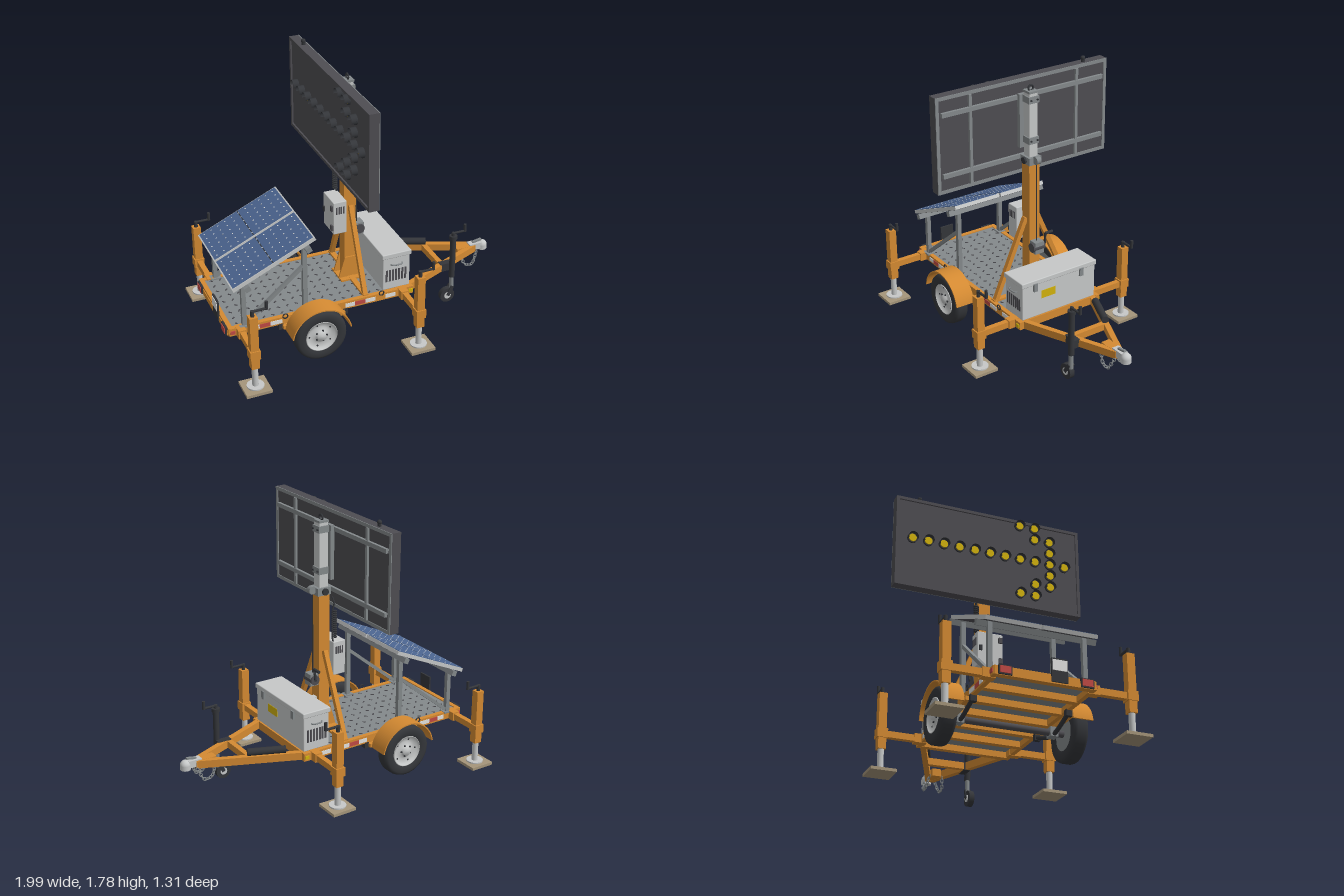
import * as THREE from 'three';
import { mergeGeometries } from 'three/addons/utils/BufferGeometryUtils.js';
import { RoundedBoxGeometry } from 'three/addons/geometries/RoundedBoxGeometry.js';

const V = (x, y, z) => new THREE.Vector3(x, y, z);
const colours = {
  orange: 0xd48a32, lightGrey: 0xc6c8c8, midGrey: 0x84898b, boardGrey: 0x4e4d52, black: 0x34363a,
  blue: 0x4c6692, tan: 0xa5957a, yellow: 0xd2b20e, red: 0xc04a44, white: 0xe2e2e0,
};

export function createModel() {
  const M = {};
  for (const [name, color] of Object.entries(colours)) {
    M[name] = new THREE.MeshStandardMaterial({ color });
    M[name].name = name;
  }
  M.black.side = THREE.DoubleSide;
  const root = new THREE.Group();
  root.name = 'arrowBoardTrailer';

  const add = (name, mat, geo, parent = root) => {
    const m = new THREE.Mesh(geo, M[mat]);
    m.name = name;
    parent.add(m);
    return m;
  };
  // Box from its limits on each axis
  const boxGeo = (x0, x1, y0, y1, z0, z1) =>
    new THREE.BoxGeometry(x1 - x0, y1 - y0, z1 - z0).translate((x0 + x1) / 2, (y0 + y1) / 2, (z0 + z1) / 2);
  const box = (name, mat, x0, x1, y0, y1, z0, z1, p) => add(name, mat, boxGeo(x0, x1, y0, y1, z0, z1), p);
  // Square bar and round bar between two points
  const beam = (name, mat, a, b, w, h, p) => {
    const m = add(name, mat, new THREE.BoxGeometry(w, h, a.distanceTo(b)), p);
    m.position.copy(a).lerp(b, 0.5);
    m.lookAt(b);
    return m;
  };
  const rod = (name, mat, a, b, r, p, r2 = r) => {
    const m = add(name, mat, new THREE.CylinderGeometry(r2, r, a.distanceTo(b), 20), p);
    m.position.copy(a).lerp(b, 0.5);
    m.quaternion.setFromUnitVectors(V(0, 1, 0), b.clone().sub(a).normalize());
    return m;
  };
  const tube = (name, mat, pts, r, p, seg = 40) =>
    add(name, mat, new THREE.TubeGeometry(new THREE.CatmullRomCurve3(pts), seg, r, 8), p);
  const plate = (name, mat, pts, z, t, p) =>
    add(name, mat, new THREE.ExtrudeGeometry(new THREE.Shape(pts.map(q => new THREE.Vector2(...q))),
      { depth: t, bevelEnabled: false }).translate(0, 0, z - t / 2), p);
  // Crank handle: stem, arm along +x and upright grip
  const crank = (x, y, z, len, p) => {
    rod('crankStem', 'black', V(x, y, z), V(x, y + 0.04, z), 0.012, p);
    rod('crankArm', 'black', V(x - 0.01, y + 0.035, z), V(x + len, y + 0.035, z), 0.008, p);
    rod('crankGrip', 'black', V(x + len, y + 0.03, z), V(x + len, y + 0.085, z), 0.01, p);
  };

  // Deck and chassis
  box('deckPlate', 'midGrey', -0.94, 0.27, 0.272, 0.282, -0.29, 0.29);
  const treads = [];
  for (let i = 0; i < 20; i++) for (let j = 0; j < 9; j++)
    treads.push(new THREE.BoxGeometry(0.022, 0.003, 0.009).rotateY((i + j) % 2 ? 0.8 : -0.8)
      .translate(-0.9 + i * 0.06, 0.283, -0.26 + j * 0.065));
  add('deckTread', 'boardGrey', mergeGeometries(treads));
  for (const x of [-0.955, -0.75, -0.55, -0.35, -0.15, 0.05, 0.265])
    box('crossMember', 'orange', x - 0.02, x + 0.02, 0.232, 0.272, -0.29, 0.29);
  box('rearSill', 'orange', -0.97, -0.94, 0.235, 0.288, -0.31, 0.31);
  box('frontSill', 'orange', 0.255, 0.285, 0.235, 0.288, -0.31, 0.31);
  for (const s of [1, -1]) {
    box('sideRail', 'orange', -0.965, 0.29, 0.235, 0.288, s * 0.3 - 0.015, s * 0.3 + 0.015);
    for (const [x0, x1, c] of [[-0.82, -0.77, 'white'], [-0.77, -0.7, 'red'], [-0.7, -0.62, 'white'],
      [-0.19, -0.125, 'white'], [-0.125, -0.05, 'red'], [-0.05, 0.02, 'white'], [0.09, 0.16, 'white']])
      box('reflectiveTape', c, x0, x1, 0.247, 0.274, s * 0.3165 - 0.002, s * 0.3165 + 0.002);
    box('rearMarker', 'red', -0.96, -0.93, 0.25, 0.272, s * 0.318 - 0.004, s * 0.318 + 0.004);
    box('frontMarker', 'yellow', 0.255, 0.285, 0.25, 0.272, s * 0.318 - 0.004, s * 0.318 + 0.004);
    box('tailLightHousing', 'black', -0.985, -0.97, 0.235, 0.29, s * 0.25 - 0.04, s * 0.25 + 0.04);
    box('tailLightLens', 'red', -0.99, -0.985, 0.242, 0.283, s * 0.25 - 0.033, s * 0.25 + 0.033);
    for (const x of [-0.6, 0.06]) {
      const ring = add('tieDownRing', 'black', new THREE.TorusGeometry(0.016, 0.004, 6, 16));
      ring.position.set(x, 0.295, s * 0.322);
    }
  }
  box('plateHolder', 'black', -0.982, -0.97, 0.24, 0.385, 0.03, 0.13);
  box('plateBlank', 'white', -0.986, -0.982, 0.31, 0.375, 0.035, 0.125);

  // Wheels, axle and fenders
  rod('axle', 'boardGrey', V(-0.41, 0.175, -0.37), V(-0.41, 0.175, 0.37), 0.021);
  const tyreProfile = [[0.1, -0.04], [0.12, -0.05], [0.15, -0.05], [0.167, -0.041], [0.173, -0.025],
    [0.173, 0.025], [0.167, 0.041], [0.15, 0.05], [0.12, 0.05], [0.1, 0.04]];
  const rimProfile = [[0.09, -0.035], [0.106, 0.045], [0.1, 0.048], [0.094, 0.03], [0.06, 0.022],
    [0.045, 0.034], [0.03, 0.034], [0.028, 0.05], [0, 0.052]];
  const lathe = pts => new THREE.LatheGeometry(pts.map(p => new THREE.Vector2(...p)), 40);
  for (const s of [1, -1]) {
    const wheel = new THREE.Group();
    wheel.name = 'wheel';
    wheel.position.set(-0.41, 0.175, s * 0.413);
    wheel.rotation.x = s * Math.PI / 2;
    root.add(wheel);
    add('tyre', 'black', lathe(tyreProfile), wheel);
    add('rim', 'lightGrey', lathe(rimProfile), wheel);
    add('rimBack', 'midGrey', new THREE.CylinderGeometry(0.1, 0.1, 0.01, 32), wheel).position.y = -0.035;
    for (let i = 0; i < 10; i++) {
      const a = i * Math.PI / 5, r = i % 2 ? 0.078 : 0.038;
      rod(i % 2 ? 'rimHole' : 'wheelNut', 'black', V(r * Math.cos(a), 0.022, r * Math.sin(a)),
        V(r * Math.cos(a), i % 2 ? 0.028 : 0.04, r * Math.sin(a)), 0.006, wheel);
    }
    const arc = new THREE.Shape();
    arc.absarc(0, 0, 0.202, 0.17, Math.PI - 0.17, false);
    arc.absarc(0, 0, 0.194, Math.PI - 0.17, 0.17, true);
    add('fender', 'orange', new THREE.ExtrudeGeometry(arc, { depth: 0.135, bevelEnabled: false, curveSegments: 32 }))
      .position.set(-0.41, 0.175, s * 0.407 - 0.0675);
    box('fenderBracket', 'orange', -0.62, -0.2, 0.21, 0.235, s * 0.328 - 0.014, s * 0.328 + 0.014);
    tube('leafSpring', 'black', [V(-0.63, 0.22, s * 0.3), V(-0.41, 0.16, s * 0.3), V(-0.19, 0.22, s * 0.3)], 0.014);
    for (const x of [-0.63, -0.19]) box('springHanger', 'black', x - 0.015, x + 0.015, 0.2, 0.24, s * 0.3 - 0.02, s * 0.3 + 0.02);
    box('springClamp', 'midGrey', -0.44, -0.38, 0.145, 0.205, s * 0.3 - 0.025, s * 0.3 + 0.025);
  }

  // Four stabiliser legs
  for (const x of [-0.895, 0.21]) for (const s of [1, -1]) {
    const leg = new THREE.Group();
    leg.name = 'stabiliser';
    leg.position.set(x, 0, s * 0.57);
    root.add(leg);
    box('legPost', 'orange', -0.026, 0.026, 0.16, 0.53, -0.026, 0.026, leg);
    box('legCollar', 'orange', -0.033, 0.033, 0.232, 0.292, -0.034, 0.034, leg);
    box('outrigger', 'orange', -0.018, 0.018, 0.24, 0.282, Math.min(0, -s * 0.28), Math.max(0, -s * 0.28), leg);
    box('outriggerSleeve', 'orange', -0.026, 0.026, 0.232, 0.29, -s * 0.25 - 0.04, -s * 0.25 + 0.04, leg);
    rod('innerLeg', 'lightGrey', V(0, 0.02, 0), V(0, 0.17, 0), 0.02, leg);
    rod('footFlange', 'lightGrey', V(0, 0.018, 0), V(0, 0.028, 0), 0.055, leg);
    box('footPad', 'tan', -0.083, 0.083, 0, 0.019, -0.083, 0.083, leg);
    crank(0, 0.53, 0, 0.09, leg);
  }

  // Tongue, coupler and safety chains
  for (const s of [1, -1]) {
    beam('tongueBeam', 'orange', V(0.26, 0.262, s * 0.278), V(0.89, 0.262, s * 0.012), 0.036, 0.05);
    const chain = new THREE.CatmullRomCurve3([V(0.78, 0.235, s * 0.045), V(0.81, 0.175, s * 0.055),
      V(0.86, 0.165, s * 0.055), V(0.9, 0.235, s * 0.04)]);
    for (let i = 0; i <= 10; i++) {
      const link = add('chainLink', 'midGrey', new THREE.TorusGeometry(0.011, 0.0035, 6, 12).scale(1.3, 0.9, 1).rotateX(i % 2 ? 1.57 : 0).rotateY(-1.57));
      const p = chain.getPointAt(i / 10);
      link.position.copy(p);
      link.lookAt(p.clone().add(chain.getTangentAt(i / 10)));
    }
  }
  box('tongueCrossBar', 'orange', 0.565, 0.6, 0.24, 0.285, -0.14, 0.14);
  box('tongueNose', 'orange', 0.76, 0.9, 0.238, 0.288, -0.03, 0.03);
  box('couplerBody', 'lightGrey', 0.86, 0.95, 0.25, 0.297, -0.025, 0.025);
  add('couplerSocket', 'lightGrey', new THREE.SphereGeometry(0.034, 24, 16)).position.set(0.964, 0.27, 0);
  rod('couplerSkirt', 'lightGrey', V(0.964, 0.24, 0), V(0.964, 0.268, 0), 0.034);
  beam('couplerLatch', 'midGrey', V(0.89, 0.3, 0), V(0.955, 0.312, 0), 0.018, 0.012);
  rod('documentTube', 'black', V(0.37, 0.309, -0.222), V(0.595, 0.309, -0.128), 0.024);

  // Nose jack
  rod('jackTube', 'black', V(0.645, 0.19, 0.175), V(0.645, 0.49, 0.175), 0.02);
  rod('jackCap', 'black', V(0.645, 0.485, 0.175), V(0.645, 0.508, 0.175), 0.027);
  rod('jackInner', 'midGrey', V(0.645, 0.09, 0.175), V(0.645, 0.2, 0.175), 0.015);
  box('jackMount', 'black', 0.565, 0.66, 0.235, 0.29, 0.12, 0.165);
  crank(0.645, 0.49, 0.175, 0.085);
  rod('jackWheel', 'black', V(0.61, 0.055, 0.158), V(0.61, 0.055, 0.192), 0.052);
  rod('jackWheelHub', 'lightGrey', V(0.61, 0.055, 0.153), V(0.61, 0.055, 0.197), 0.024);
  for (const s of [1, -1]) beam('jackFork', 'black', V(0.61, 0.055, 0.175 + s * 0.022), V(0.645, 0.12, 0.175 + s * 0.018), 0.006, 0.025);

  // Battery box
  add('batteryBox', 'lightGrey', new RoundedBoxGeometry(0.19, 0.235, 0.57, 2, 0.006)).position.set(0.18, 0.403, 0);
  add('batteryBoxLid', 'lightGrey', new RoundedBoxGeometry(0.205, 0.035, 0.585, 2, 0.006)).position.set(0.18, 0.535, 0);
  box('warningLabel', 'yellow', 0.273, 0.278, 0.405, 0.46, 0.03, 0.14);
  for (const z of [-0.17, 0.19]) box('lidLatch', 'midGrey', 0.274, 0.29, 0.475, 0.53, z - 0.014, z + 0.014);
  for (const s of [1, -1]) {
    for (let i = 0; i < 7; i++)
      box('ventSlot', 'boardGrey', 0.105 + i * 0.022, 0.118 + i * 0.022, 0.345, 0.43, s * 0.286 - 0.002, s * 0.286 + 0.002);
    tube('boxHandle', 'midGrey', [V(0.14, 0.47, s * 0.285), V(0.15, 0.47, s * 0.3), V(0.21, 0.47, s * 0.3), V(0.22, 0.47, s * 0.285)], 0.005);
  }

  // Mast with braces
  box('mastOuter', 'orange', -0.08, 0, 0.285, 1.215, -0.04, 0.04);
  box('mastBase', 'orange', -0.12, 0.05, 0.28, 0.294, -0.085, 0.085);
  box('braceSill', 'orange', -0.058, -0.022, 0.28, 0.296, -0.3, 0.3);
  for (const s of [1, -1]) {
    plate('mastGusset', 'orange', [[-0.125, 0.29], [0.045, 0.29], [0, 0.44], [-0.08, 0.44]], s * 0.044, 0.01);
    beam('mastBrace', 'orange', V(-0.04, 0.29, s * 0.28), V(-0.04, 0.825, s * 0.045), 0.03, 0.03);
  }
  box('mastInner', 'lightGrey', -0.073, -0.01, 1.2, 1.675, -0.03, 0.03);
  box('mastCollar', 'midGrey', -0.086, 0.01, 1.2, 1.25, -0.046, 0.046);
  rod('collarPin', 'black', V(-0.04, 1.225, -0.06), V(-0.04, 1.225, 0.06), 0.022);
  for (const y of [1.36, 1.63]) {
    box('mastClamp', 'midGrey', -0.1, -0.002, y - 0.022, y + 0.022, -0.038, 0.038);
    for (const s of [1, -1]) rod('clampBolt', 'black', V(-0.003, y, s * 0.024), V(0.006, y, s * 0.024), 0.006);
  }
  box('boardMount', 'midGrey', -0.1, -0.073, 1.3, 1.655, -0.06, 0.06);
  box('mastCap', 'midGrey', -0.077, -0.006, 1.672, 1.686, -0.034, 0.034);
  add('liftingEye', 'black', new THREE.TorusGeometry(0.018, 0.006, 8, 20).rotateY(Math.PI / 2)).position.set(-0.04, 1.7, 0);

  // Winch, pulley and cable
  rod('pulley', 'midGrey', V(0.03, 1.237, -0.016), V(0.03, 1.237, 0.016), 0.026);
  rod('liftCable', 'black', V(0.022, 0.63, 0), V(0.022, 1.235, 0), 0.004);
  box('winchFrame', 'midGrey', 0, 0.06, 0.59, 0.67, -0.034, 0.034);
  rod('winchDrum', 'boardGrey', V(0.03, 0.63, -0.045), V(0.03, 0.63, 0.045), 0.032);
  beam('winchHandle', 'black', V(0.035, 0.63, -0.055), V(0.045, 0.72, -0.055), 0.008, 0.014);
  rod('winchGrip', 'black', V(0.045, 0.715, -0.055), V(0.045, 0.715, -0.11), 0.01);
  box('mastLockPin', 'lightGrey', 0, 0.03, 0.46, 0.5, -0.02, 0.02);

  // Control cabinet and coiled lead
  add('controlCabinet', 'lightGrey', new RoundedBoxGeometry(0.092, 0.23, 0.17, 2, 0.005)).position.set(-0.127, 0.77, 0);
  for (const y of [0.7, 0.84]) box('cabinetHinge', 'boardGrey', -0.185, -0.17, y - 0.018, y + 0.018, 0.055, 0.08);
  box('cabinetLatch', 'black', -0.182, -0.172, 0.755, 0.79, -0.075, -0.055);
  for (const s of [1, -1]) for (let i = 0; i < 4; i++)
    box('cabinetVent', 'boardGrey', -0.155 + i * 0.016, -0.146 + i * 0.016, 0.8, 0.85, s * 0.086 - 0.002, s * 0.086 + 0.002);
  const coil = [V(-0.1, 0.85, -0.062)];
  for (let i = 0; i <= 112; i++) {
    const a = i * Math.PI / 4;
    coil.push(V(-0.1 + 0.013 * Math.cos(a), 0.905 + i * 0.0017, -0.065 + 0.013 * Math.sin(a)));
  }
  coil.push(V(-0.1, 1.14, -0.062), V(-0.1, 1.18, -0.04));
  tube('coiledLead', 'black', coil, 0.0055, root, 400);

  // Arrow board
  box('boardPanel', 'boardGrey', -0.165, -0.115, 1.12, 1.74, -0.635, 0.635);
  for (const s of [1, -1]) {
    box('boardEdge', 'boardGrey', -0.176, -0.112, 1.113, 1.745, s * 0.631 - 0.01, s * 0.631 + 0.01);
    box('backTrimSide', 'midGrey', -0.112, -0.107, 1.113, 1.745, s * 0.63 - 0.011, s * 0.63 + 0.011);
    box('boardEdge', 'boardGrey', -0.176, -0.112, 1.429 + s * 0.306 - 0.01, 1.429 + s * 0.306 + 0.01, -0.622, 0.622);
    box('backTrim', 'midGrey', -0.112, -0.107, 1.429 + s * 0.305 - 0.011, 1.429 + s * 0.305 + 0.011, -0.62, 0.62);
    box('boardRibUpright', 'midGrey', -0.115, -0.1, 1.135, 1.722, s * 0.4 - 0.01, s * 0.4 + 0.01);
    box('boardRib', 'midGrey', -0.115, -0.096, 1.43 + s * 0.2 - 0.014, 1.43 + s * 0.2 + 0.014, -0.605, 0.605);
  }
  rod('lightSensor', 'black', V(-0.14, 1.74, -0.475), V(-0.14, 1.77, -0.475), 0.013);
  add('sensorDome', 'black', new THREE.SphereGeometry(0.015, 16, 10)).position.set(-0.14, 1.77, -0.475);

  // Arrow lamps: shaft along z, then a double chevron
  const lamps = [];
  for (let k = 0; k <= 10; k++) lamps.push([-0.53 + k * 0.106, 0]);
  for (const s of [1, -1])
    for (const [z, r] of [[0.424, 1], [0.318, 2], [0.212, 3], [0.424, 2], [0.318, 3]]) lamps.push([z, s * r]);
  for (const [z, row] of lamps) {
    const lamp = new THREE.Group();
    lamp.name = 'lamp';
    lamp.position.set(-0.165, 1.455 + row * 0.083, z);
    root.add(lamp);
    rod('lampBody', 'black', V(0, 0, 0), V(-0.012, 0, 0), 0.033, lamp);
    rod('lampLens', 'yellow', V(-0.012, 0, 0), V(-0.018, 0, 0), 0.026, lamp);
    add('lampHood', 'black', new THREE.CylinderGeometry(0.033, 0.033, 0.04, 16, 1, true, -0.4, Math.PI + 0.8)
      .rotateZ(Math.PI / 2).translate(-0.02, 0, 0), lamp);
  }

  // Solar array, tilted about z
  const solar = new THREE.Group();
  solar.name = 'solarArray';
  solar.position.set(-0.67, 0.707, 0);
  solar.rotation.z = Math.atan2(0.245, 0.54);
  root.add(solar);
  for (const s of [1, -1]) {
    box('panelFrame', 'lightGrey', -0.297, 0.297, -0.012, 0.012, s * 0.178 - 0.172, s * 0.178 + 0.172, solar);
    box('panelBack', 'boardGrey', -0.285, 0.285, -0.015, -0.012, s * 0.178 - 0.16, s * 0.178 + 0.16, solar);
    for (const h of [1, -1])
      box('solarCells', 'blue', h * 0.145 - 0.143, h * 0.145 + 0.143, 0.012, 0.015, s * 0.178 - 0.164, s * 0.178 + 0.164, solar);
    box('panelDivider', 'black', -0.003, 0.003, 0.012, 0.0152, s * 0.178 - 0.164, s * 0.178 + 0.164, solar);
    const dots = [];
    for (let i = 0; i < 11; i++) for (let j = 0; j < 6; j++)
      dots.push(new THREE.BoxGeometry(0.008, 0.002, 0.008).rotateY(Math.PI / 4).translate(-0.26 + i * 0.052, 0.0152, s * 0.178 - 0.135 + j * 0.054));
    add('cellGaps', 'white', mergeGeometries(dots), solar);
  }
  for (const x of [-0.215, 0.225]) box('arrayRail', 'midGrey', x - 0.018, x + 0.018, -0.05, -0.015, -0.375, 0.375, solar);
  for (const s of [1, -1]) {
    const z = s * 0.295;
    box('rearPost', 'midGrey', -0.877, -0.848, 0.28, 0.595, z - 0.014, z + 0.014);
    box('frontPost', 'midGrey', -0.472, -0.442, 0.28, 0.78, z - 0.014, z + 0.014);
    beam('arrayStrut', 'midGrey', V(-0.85, 0.3, z), V(-0.46, 0.62, z), 0.022, 0.022);
    for (const x of [-0.862, -0.457]) box('postFoot', 'midGrey', x - 0.035, x + 0.035, 0.28, 0.29, z - 0.028, z + 0.028);
  }
  return root;
}
